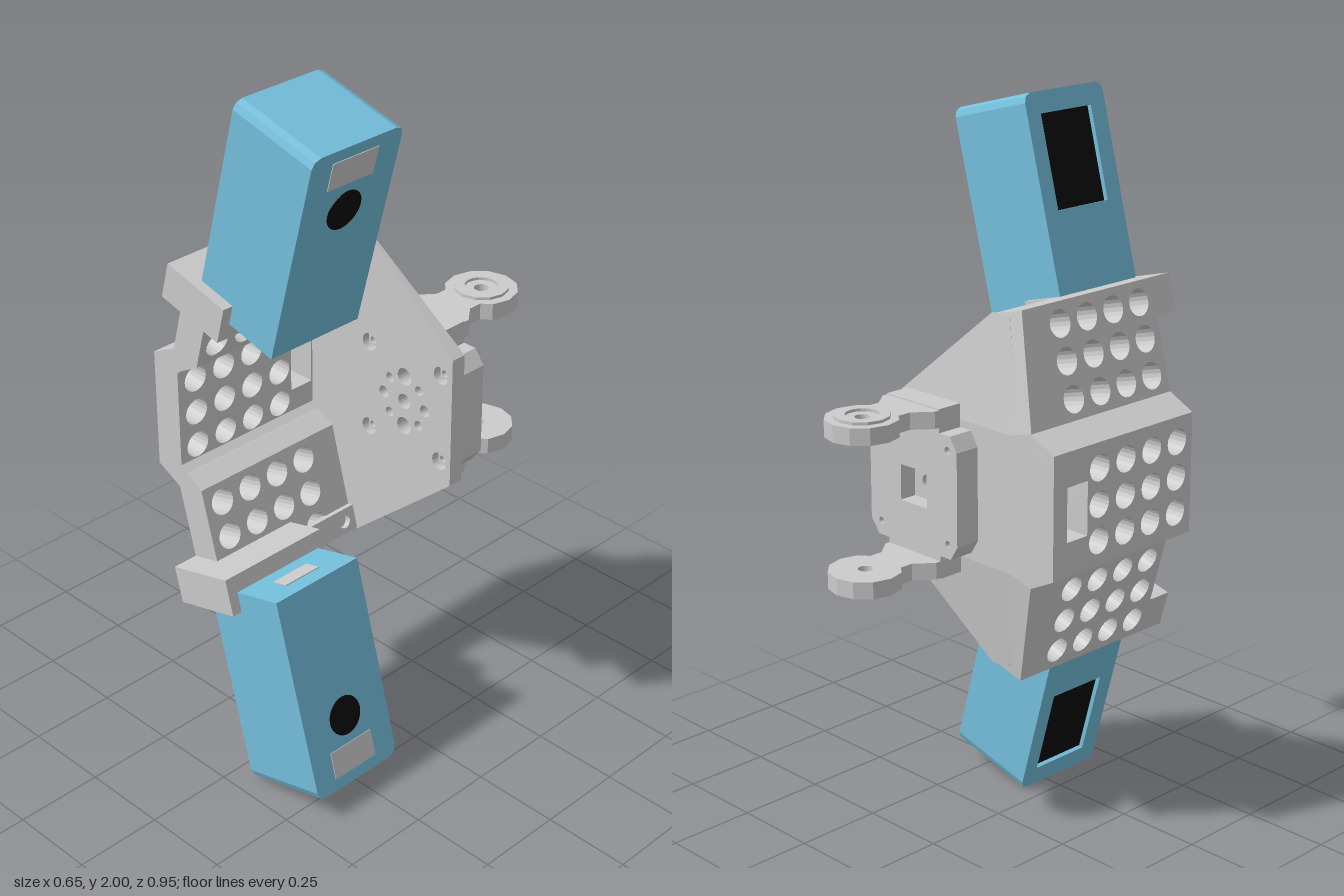
import * as THREE from 'three';

const grey = new THREE.MeshStandardMaterial({ color: 0xcccccc, flatShading: true });
const blue = new THREE.MeshStandardMaterial({ color: 0x74bfdc, flatShading: true });
const black = new THREE.MeshStandardMaterial({ color: 0x0a0a0a, flatShading: true });

// Polygon with round holes [x, y, r] and polygonal holes [[x, y], ...]
function outline(pts, rounds = [], polys = []) {
  const s = new THREE.Shape(pts.map(p => new THREE.Vector2(...p)));
  for (const [x, y, r] of rounds) s.holes.push(new THREE.Path().absarc(x, y, r, 0, Math.PI * 2, true));
  for (const h of polys) s.holes.push(new THREE.Path(h.map(p => new THREE.Vector2(...p))));
  return s;
}
const rect = (x0, x1, y0, y1) => [[x0, y0], [x1, y0], [x1, y1], [x0, y1]];
const extrude = (shape, depth) => new THREE.ExtrudeGeometry(shape, { depth, bevelEnabled: false, curveSegments: 10 });
// Slabs along each axis; shapes use (x, y), (-z, y) and (x, -z)
const slabZ = (s, z0, z1) => extrude(s, z1 - z0).translate(0, 0, z0);
const slabX = (s, x0, x1) => extrude(s, x1 - x0).rotateY(Math.PI / 2).translate(x0, 0, 0);
const slabY = (s, y0, y1) => extrude(s, y1 - y0).rotateX(-Math.PI / 2).translate(0, y0, 0);
const box = (x0, x1, y0, y1, z0, z1) =>
  new THREE.BoxGeometry(x1 - x0, y1 - y0, z1 - z0).translate((x0 + x1) / 2, (y0 + y1) / 2, (z0 + z1) / 2);

// Copy reflected in y, with the winding turned back
function reflect(geo) {
  const g = geo.index ? geo.toNonIndexed() : geo.clone();
  g.scale(1, -1, 1);
  const p = g.attributes.position;
  for (let i = 0; i < p.count; i += 3) {
    const b = [p.getX(i + 1), p.getY(i + 1), p.getZ(i + 1)];
    p.setXYZ(i + 1, p.getX(i + 2), p.getY(i + 2), p.getZ(i + 2));
    p.setXYZ(i + 2, ...b);
  }
  g.computeVertexNormals();
  return g;
}

export function createModel() {
  const model = new THREE.Group();
  model.name = 'gripper';
  const body = new THREE.Group();
  body.name = 'gripperBody';
  body.position.y = 1; // everything is symmetric about this height
  model.add(body);

  const add = (name, geo, mat = grey) => {
    const m = new THREE.Mesh(geo, mat);
    m.name = name;
    body.add(m);
  };
  const addPair = (name, geo, mat = grey) => {
    add('upper' + name, geo, mat);
    add('lower' + name, reflect(geo), mat);
  };
  // Frame of the tilted finger: x across its thickness, y along it
  const tilt = new THREE.Matrix4().makeRotationZ(-Math.PI / 12).setPosition(-0.25, 0.21, 0);
  const addFinger = (name, geo, mat) => addPair(name, geo.applyMatrix4(tilt), mat);

  // Side plate with bolt circle; the outer wings taper at the back
  const bolts = [[0.11, 0, 0.022]];
  for (let i = 0; i < 8; i++) {
    const a = i * Math.PI / 4;
    bolts.push([0.11 + 0.075 * Math.cos(a), 0.075 * Math.sin(a), i === 2 || i === 6 ? 0.025 : i % 2 ? 0.014 : 0.017]);
  }
  const screws = [];
  for (const x of [-0.02, 0.24]) for (const y of [-0.13, 0.13]) screws.push([x, y, 0.025]);
  add('sidePlate', slabZ(outline(rect(-0.25, 0.28, -0.19, 0.19), [...bolts, ...screws]), -0.13, -0.085));
  const wing = slabZ(outline([[-0.2, 0.19], [0.28, 0.19], [-0.065, 0.485], [-0.13, 0.488]]), -0.13, -0.085);
  const p = wing.attributes.position;
  for (let i = 0; i < p.count; i++) {
    if (p.getZ(i) < -0.1) p.setZ(i, -0.13 + 0.043 * (p.getY(i) - 0.19) / 0.3);
  }
  wing.computeVertexNormals();
  addPair('PlateWing', wing);
  for (const [x, y] of screws) {
    add('screwRing', slabZ(outline(rect(x - 0.016, x + 0.016, y - 0.016, y + 0.016), [[x, y, 0.01]]), -0.13, -0.1));
  }

  // Perforated back wall: centre panel, two bends, two tilted panels
  const grid = rows => rows.flatMap(y => [0.04, 0.14, 0.24, 0.34].map(z => [-z, y, 0.037]));
  add('centrePanel', slabX(outline(rect(-0.4, 0.13, -0.14, 0.14), grid([-0.1, 0, 0.1]),
    [rect(0.004, 0.08, -0.075, 0.075)]), -0.33, -0.24));
  addPair('WallBend', slabZ(outline([[-0.33, 0.14], [-0.24, 0.14], [-0.22, 0.155], [-0.163, 0.187],
    [-0.25, 0.21], [-0.33, 0.17]]), -0.13, 0.4));
  addFinger('TiltedPanel', slabX(outline([[-0.4, 0], [0.13, 0], [0.085, 0.31], [-0.4, 0.31]],
    grid([0.055, 0.155, 0.253])), 0, 0.09));

  // Socket and screw lip at each wall end
  addFinger('SocketFront', box(0, 0.21, 0.205, 0.31, 0.4, 0.475));
  addFinger('SocketBase', box(0.085, 0.21, 0.205, 0.31, 0.13, 0.4));
  addFinger('ScrewLip', slabX(outline(rect(-0.13, 0.085, 0.24, 0.31),
    [[-0.108, 0.275, 0.02], [0.045, 0.275, 0.02]]), 0.085, 0.108));

  // Blue finger module: outer end rounded, window pocket on the back
  const r = 0.025, z0 = -0.445, z1 = -0.15, top = 0.843;
  const moduleShape = polys => outline([[z0, 0.253], [z1, 0.253], [z1, top - r], [z1 - r * 0.3, top - r * 0.3],
    [z1 - r, top], [z0 + r, top], [z0 + r * 0.3, top - r * 0.3], [z0, top - r]], [], polys);
  addFinger('ModuleBody', slabX(moduleShape([]), 0.111, 0.365), blue);
  addFinger('ModuleBack', slabX(moduleShape([rect(-0.39, -0.2, 0.53, 0.785)]), 0.095, 0.111), blue);
  addFinger('ModuleWindow', box(0.108, 0.1115, 0.53, 0.785, 0.2, 0.39), black);
  addFinger('ModuleLens', new THREE.CylinderGeometry(0.055, 0.055, 0.01, 28).rotateZ(Math.PI / 2)
    .translate(0.362, 0.652, 0.3), black);
  addFinger('ModuleLabel', box(0.36, 0.367, 0.732, 0.81, 0.225, 0.375));
  addFinger('ModulePlug', box(0.26, 0.31, 0.25, 0.26, 0.24, 0.36));

  // Mounting bracket behind the plate, with a square pocket
  const half = [[0.28, 0.13], [0.25, 0.17], [0.21, 0.17], [0.21, 0.235], [0.01, 0.235], [0.01, 0.17], [-0.03, 0.17], [-0.055, 0.13]];
  const base = [...half, ...half.map(([x, y]) => [x, -y]).reverse()];
  const pilots = screws.map(([x, y]) => [x, y, 0.01]);
  add('bracketFloor', slabZ(outline(base, [[0.11, 0, 0.02], ...pilots]), -0.155, -0.13));
  add('bracketBase', slabZ(outline(base, pilots, [rect(0.06, 0.16, -0.05, 0.05)]), -0.205, -0.155));

  // Clevis arms with twelve-sided eyes and raised bosses
  const eye = [];
  for (let i = -2; i <= 8; i++) {
    const a = i * Math.PI / 6;
    eye.push([0.11 + 0.1 * Math.cos(a), 0.38 + 0.1 * Math.sin(a)]);
  }
  const arm = [[0.01, 0.13], [0.21, 0.13], [0.21, 0.22], [0.17, 0.27], [0.17, 0.31], ...eye.slice(1, -1), [0.05, 0.31], [0.05, 0.27], [0.01, 0.22]];
  addPair('ClevisArm', slabY(outline(arm, [[0.11, 0.38, 0.02]]), 0.185, 0.232));
  const disc = Array.from({ length: 12 }, (_, i) =>
    [0.11 + 0.075 * Math.cos(i * Math.PI / 6), 0.38 + 0.075 * Math.sin(i * Math.PI / 6)]);
  addPair('ClevisBoss', slabY(outline(disc, [[0.11, 0.38, 0.045]]), 0.23, 0.24));
  return model;
}
